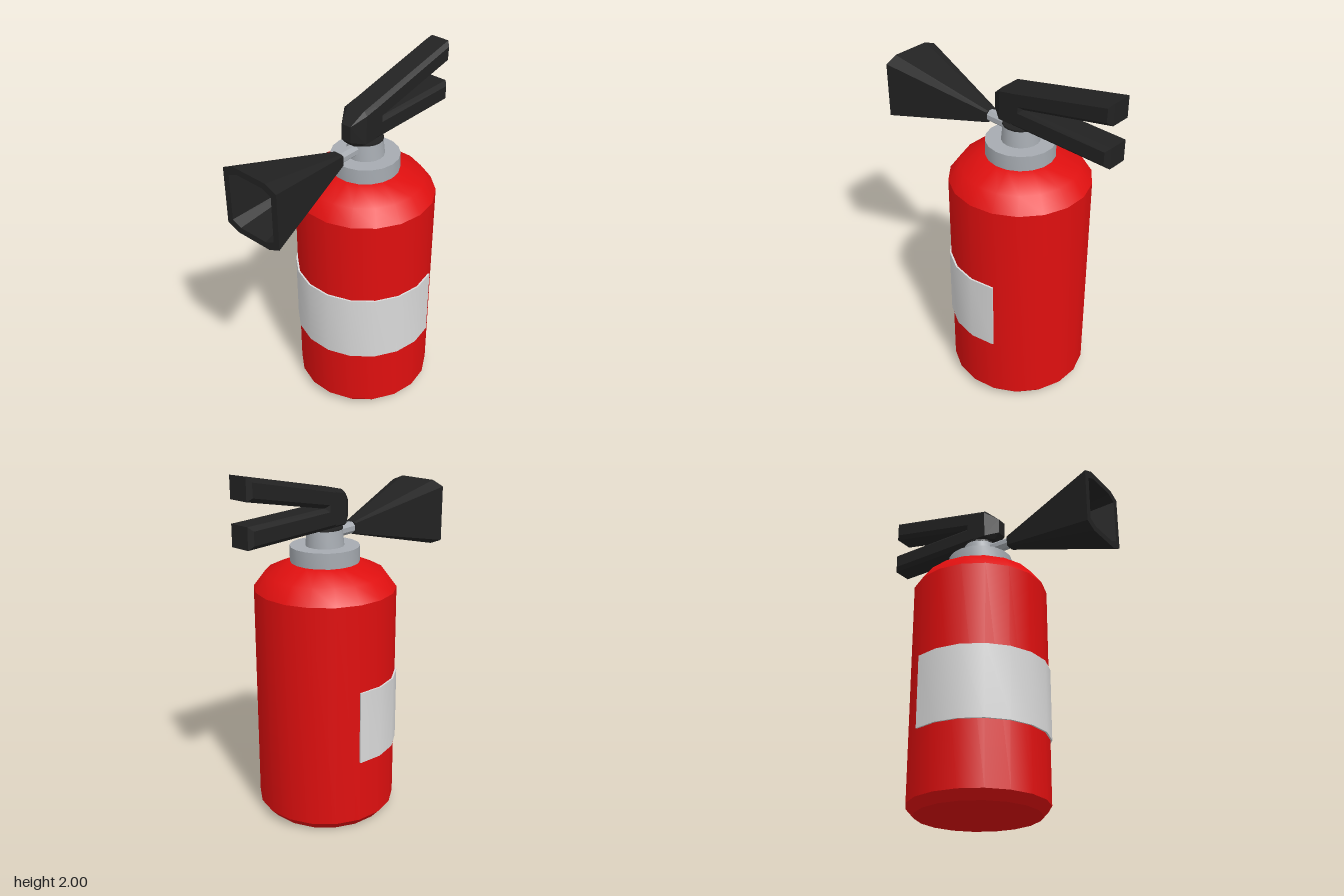
import * as THREE from 'three';
import { toCreasedNormals } from 'three/addons/utils/BufferGeometryUtils.js';
import { ConvexGeometry } from 'three/addons/geometries/ConvexGeometry.js';

const AXIS_Z = -0.105; // centre line of the tank
const SIDES = 18;

const material = (name, color, flatShading = false) => {
  const m = new THREE.MeshStandardMaterial({ color, flatShading });
  m.name = name;
  return m;
};

// Turned part around the tank axis, with hard edges kept sharp
function turned(profile, start = Math.PI / 2, length = Math.PI * 2, sides = SIDES) {
  const points = profile.map(([r, y]) => new THREE.Vector2(r, y));
  const geo = new THREE.LatheGeometry(points, sides, start, length);
  return toCreasedNormals(geo, 0.58).translate(0, 0, AXIS_Z);
}

// Skin joining eight-cornered rings given as [z, half width, half height]
function loft(rings, centreY) {
  const corners = [[1, 0.84], [0.61, 1], [-0.61, 1], [-1, 0.84], [-1, -0.84], [-0.61, -1], [0.61, -1], [1, -0.84]];
  const point = ([z, a, b], i) => {
    const [cx, cy] = corners[i % 8];
    return [cx * a, centreY + cy * b, z];
  };
  const pos = [];
  for (let r = 0; r < rings.length - 1; r++) {
    const [A, B] = [rings[r], rings[r + 1]];
    for (let i = 0; i < 8; i++) {
      const quad = [point(A, i), point(A, i + 1), point(B, i + 1), point(B, i)];
      for (const k of [0, 1, 2, 0, 2, 3]) pos.push(...quad[k]);
    }
  }
  const geo = new THREE.BufferGeometry();
  geo.setAttribute('position', new THREE.Float32BufferAttribute(pos, 3));
  geo.computeVertexNormals();
  return geo;
}

// Side profile of [z, y] points given a width and chamfered edges
function chamferedBar(profile, width, bevel) {
  const shape = new THREE.Shape(profile.map(([z, y]) => new THREE.Vector2(-z, y)));
  const geo = new THREE.ExtrudeGeometry(shape, {
    depth: width - 2 * bevel, bevelEnabled: true, bevelSegments: 1,
    bevelSize: bevel, bevelThickness: bevel, bevelOffset: -bevel,
  });
  return geo.translate(0, 0, bevel - width / 2).rotateY(Math.PI / 2);
}

export function createModel() {
  const model = new THREE.Group();
  model.name = 'fireExtinguisher';
  const red = material('red paint', 0xdf0f0f);
  const white = material('label white', 0xd9d9d9);
  const metal = material('grey metal', 0xa6abb1);
  const black = material('black plastic', 0x222222, true);

  const add = (name, geo, mat) => {
    const mesh = new THREE.Mesh(geo, mat);
    mesh.name = name;
    model.add(mesh);
    return mesh;
  };

  // Tank with chamfered foot and domed shoulder
  add('tank', turned([[0, 0], [0.345, 0], [0.39, 0.05], [0.39, 1.315], [0.327, 1.4], [0.19, 1.46], [0, 1.46]]), red);

  // Label wrapped around the front of the tank
  const reach = THREE.MathUtils.degToRad(110);
  add('label', turned([[0.386, 0.412], [0.4, 0.412], [0.4, 0.826], [0.386, 0.826]], -reach, reach * 2, 11), white);
  for (const side of [-1, 1]) {
    const end = add('labelEnd', new THREE.BoxGeometry(0.004, 0.414, 0.012), white);
    end.rotation.y = side * reach;
    end.position.set(side * Math.sin(reach) * 0.393, 0.619, AXIS_Z + Math.cos(reach) * 0.393);
  }

  // Collar, neck and valve seat
  add('collar', turned([[0, 1.44], [0.19, 1.44], [0.19, 1.546], [0, 1.546]]), metal);
  add('neck', turned([[0.106, 1.54], [0.096, 1.638], [0, 1.638]]), metal);
  add('valveSeat', turned([[0, 1.637], [0.098, 1.637], [0.098, 1.646], [0, 1.646]]), black);

  // Pipe from the neck to the horn
  const pipe = new THREE.CylinderGeometry(0.034, 0.034, 0.17, 8).rotateY(Math.PI / 8).rotateX(Math.PI / 2);
  add('pipe', toCreasedNormals(pipe, 0.5).translate(0, 1.603, 0.04), metal);

  // Hollow discharge horn
  add('horn', loft([
    [0.11, 0, 0], [0.11, 0.035, 0.034],
    [0.727, 0.182, 0.19], [0.727, 0.145, 0.155],
    [0.32, 0.066, 0.07], [0.32, 0, 0],
  ], 1.601), black);

  // Squeeze lever above, carrying handle below
  add('lever', chamferedBar([[-0.03, 1.7], [-0.03, 1.843], [-0.722, 2.0], [-0.722, 1.882], [-0.17, 1.76], [-0.17, 1.7]], 0.156, 0.022), black);
  add('handle', chamferedBar([[-0.02, 1.645], [-0.02, 1.762], [-0.722, 1.762], [-0.722, 1.645]], 0.156, 0.022), black);

  // Wedge-shaped valve nose in front of the grips
  const nose = [];
  for (const s of [-1, 1]) {
    for (const [x, y, z] of [
      [0.078, 1.66, -0.1], [0.055, 1.645, -0.1], [0.078, 1.838, -0.1], [0.055, 1.858, -0.1],
      [0.078, 1.66, -0.02], [0.055, 1.645, -0.01], [0.078, 1.822, -0.025], [0.055, 1.843, -0.03],
      [0.03, 1.645, 0.018], [0.03, 1.68, 0.05], [0.03, 1.772, 0.05],
    ]) nose.push(new THREE.Vector3(s * x, y, z));
  }
  add('valveNose', new ConvexGeometry(nose), black);

  return model;
}
